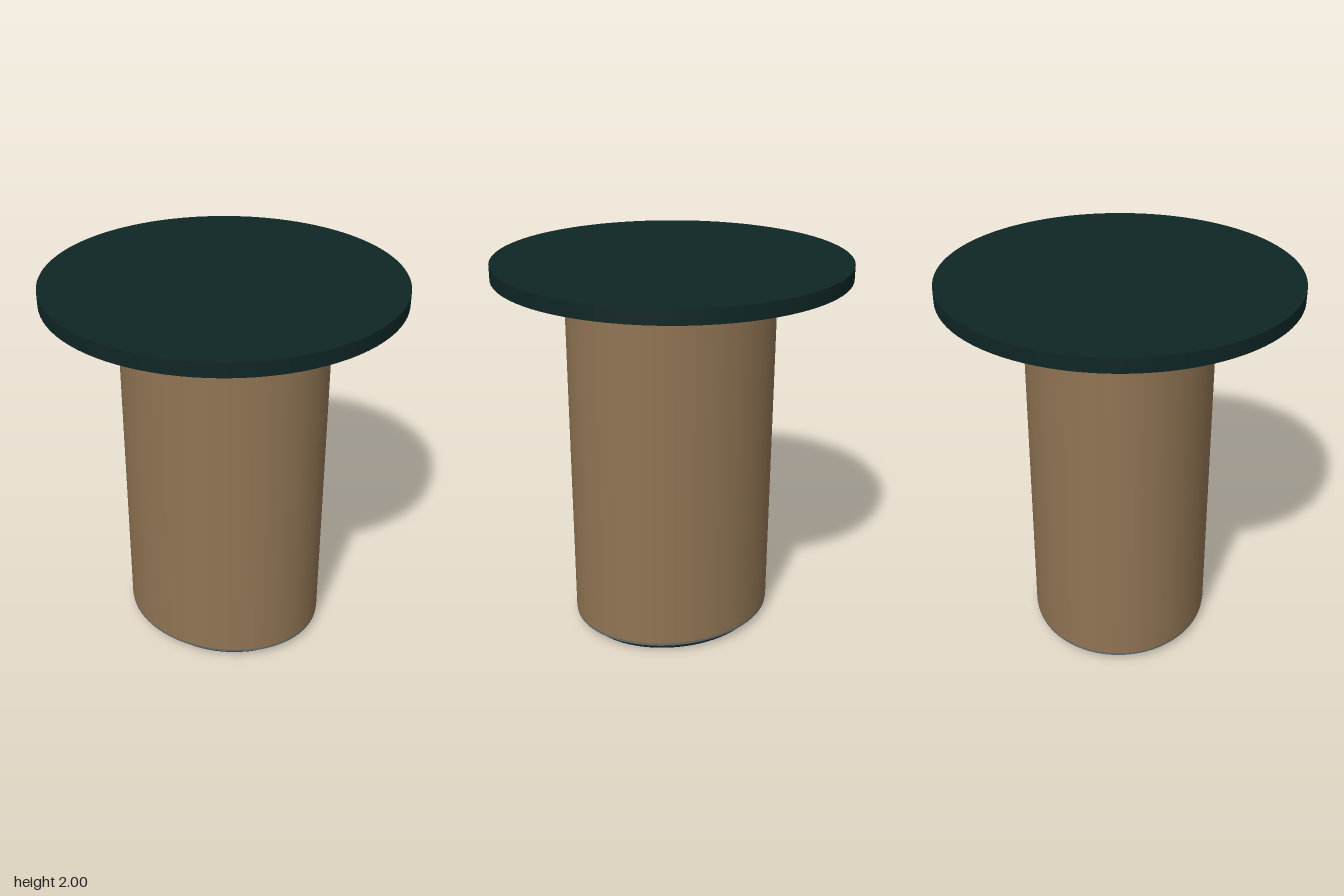
import * as THREE from 'three';

export function createModel() {
  const model = new THREE.Group();
  model.name = 'pedestalTable';

  const mat = (name, color) => {
    const m = new THREE.MeshStandardMaterial({ color });
    m.name = name;
    return m;
  };
  const dark = mat('dark green lacquer', 0x0f2625);
  const wood = mat('warm brown wood', 0x907453);
  const steel = mat('grey metal', 0x666a6c);
  const silver = mat('light grey metal', 0xa0a0a0);

  // Upright disc or elliptical drum with half-widths rx, rz between two heights;
  // a bevel softens its rims
  function drum(name, material, rx, rz, y0, y1, bevel = 0) {
    const h = y1 - y0;
    let geometry;
    if (bevel > 0) {
      const e = bevel / rx;
      const corners = [[0, 0], [1 - e, 0], [1, bevel], [1, h - bevel], [1 - e, h], [0, h]];
      // separate bands keep the edges crisp
      const group = new THREE.Group();
      for (let i = 0; i < corners.length - 1; i++) {
        const pts = [corners[i], corners[i + 1]].map(([r, y]) => new THREE.Vector2(r, y));
        geometry = new THREE.LatheGeometry(pts, 96).scale(rx, 1, rz).translate(0, y0, 0);
        const band = new THREE.Mesh(geometry, material);
        band.name = name + 'Band';
        group.add(band);
      }
      group.name = name;
      model.add(group);
      return;
    }
    geometry = new THREE.CylinderGeometry(1, 1, h, 96).scale(rx, 1, rz).translate(0, (y0 + y1) / 2, 0);
    const mesh = new THREE.Mesh(geometry, material);
    mesh.name = name;
    model.add(mesh);
  }

  // Foot and trim under the column
  drum('foot', dark, 0.51, 0.445, 0, 0.04, 0.006);
  drum('footTrim', steel, 0.548, 0.478, 0.04, 0.055);

  // Oval column with a fine shadow line on top
  drum('column', wood, 0.55, 0.48, 0.055, 1.886);
  drum('columnTrim', silver, 0.547, 0.477, 1.886, 1.893);

  // Round mounting plates and table top
  drum('mountingPlate', wood, 0.705, 0.705, 1.893, 1.914, 0.003);
  drum('spacerPlate', dark, 0.685, 0.685, 1.914, 1.926);
  drum('tableTop', dark, 0.9, 0.9, 1.926, 2);

  return model;
}
